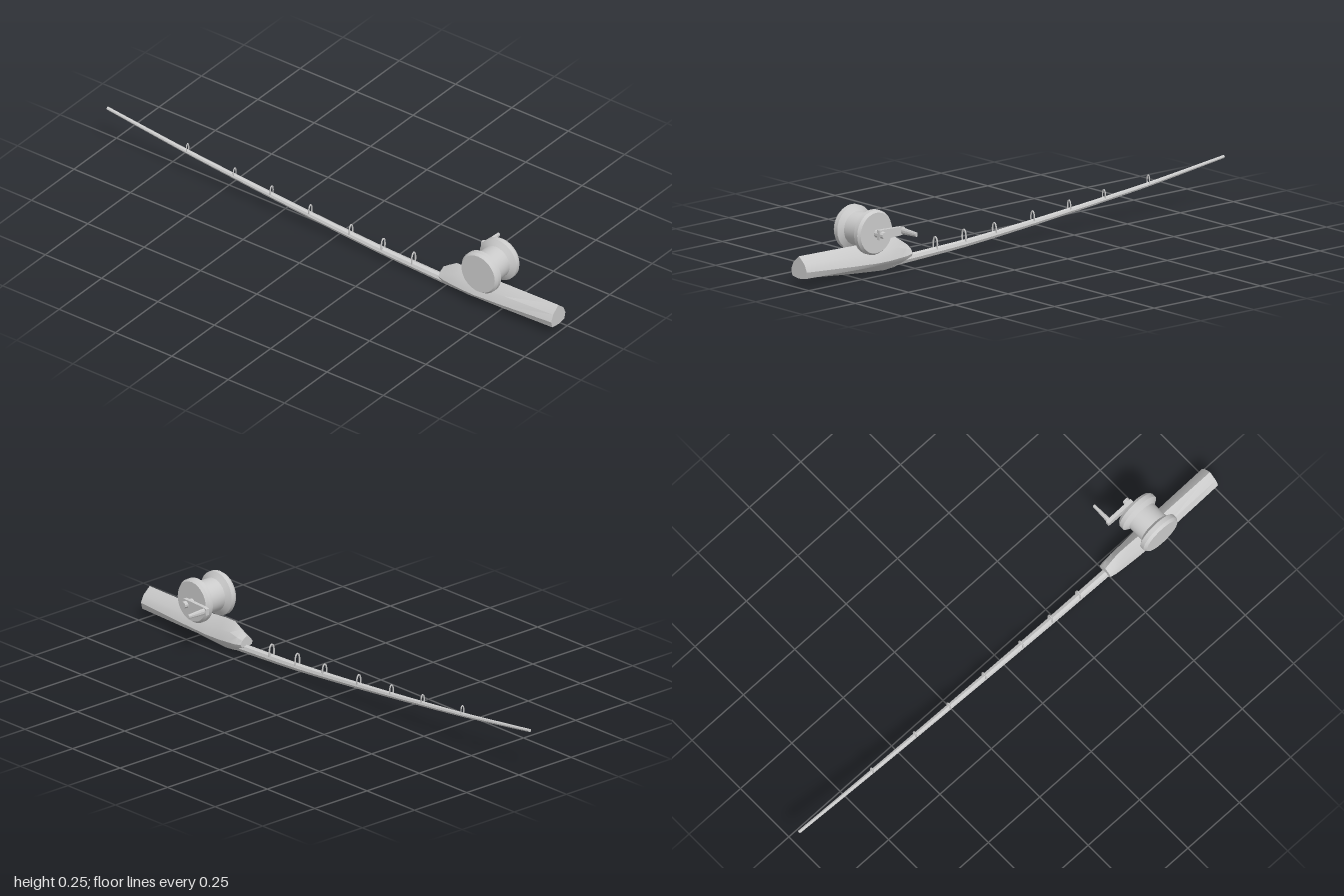
import * as THREE from 'three';
import { toCreasedNormals } from 'three/addons/utils/BufferGeometryUtils.js';

const AXIS_Z = 0.0525;
const grey = new THREE.MeshStandardMaterial({ color: 0xcccccc });
const flat = new THREE.MeshStandardMaterial({ color: 0xcccccc, flatShading: true });

function mesh(name, geometry, material, parent) {
  const m = new THREE.Mesh(geometry, material);
  m.name = name;
  parent.add(m);
  return m;
}

// Skin rings of [x, y, z] points that run along +x and close both ends
function loft(rings) {
  const n = rings[0].length, index = [], points = rings.flat();
  for (let r = 0; r < rings.length - 1; r++) {
    for (let i = 0; i < n; i++) {
      const a = r * n + i, b = r * n + (i + 1) % n;
      index.push(a, b, a + n, b, b + n, a + n);
    }
  }
  const last = (rings.length - 1) * n;
  for (let i = 1; i < n - 1; i++) index.push(0, i + 1, i, last, last + i, last + i + 1);
  const g = new THREE.BufferGeometry();
  g.setAttribute('position', new THREE.Float32BufferAttribute(points.flat(), 3));
  g.setIndex(index);
  return toCreasedNormals(g, 0.5);
}

// Lathe around the z axis from [radius, z] points, listed with z rising
function latheZ(profile, segments) {
  const g = new THREE.LatheGeometry(profile.map(([r, z]) => new THREE.Vector2(r, z)), segments);
  g.rotateX(Math.PI / 2);
  return toCreasedNormals(g, 0.5);
}

// Centre line of the bent blank
const bend = new THREE.CatmullRomCurve3([
  [-1, 0.157], [-0.8, 0.132], [-0.65, 0.114], [-0.44, 0.093], [-0.105, 0.063],
  [0.22, 0.039], [0.36, 0.033], [0.5, 0.028], [0.6, 0.026],
].map(([x, y]) => new THREE.Vector3(x, y, AXIS_Z)));
const rodRadius = (x) => 0.006 + 0.0105 * (x + 1) / 1.5;

export function createModel() {
  const model = new THREE.Group();
  model.name = 'fishingRod';

  // Tapered blank
  const rodRings = bend.getPoints(24).map((p) => Array.from({ length: 8 }, (_, i) => {
    const a = i * Math.PI / 4, r = rodRadius(p.x);
    return [p.x, p.y + r * Math.cos(a), p.z + r * Math.sin(a)];
  }));
  mesh('rodBlank', loft(rodRings), grey, model);

  // Faceted grip: x, bottom, top, half width, height of the lower corners
  const sections = [
    [0.49, 0.036, 0.078, 0.029, 0.12],
    [0.515, 0.020, 0.095, 0.033, 0.18],
    [0.55, 0.006, 0.117, 0.036, 0.24],
    [0.60, 0.002, 0.117, 0.038, 0.26],
    [0.66, 0.006, 0.112, 0.041, 0.25],
    [0.78, 0.015, 0.115, 0.042, 0.2],
    [1, 0.036, 0.118, 0.042, 0.06],
  ];
  const gripRings = sections.map(([x, lo, hi, w, corner]) => [
    [0, 1], [0.72, 0.68], [1, 0.36], [0.84, corner], [0, 0],
    [-0.84, corner], [-1, 0.36], [-0.72, 0.68],
  ].map(([z, t]) => [x, lo + t * (hi - lo), AXIS_Z + z * w]));
  mesh('grip', loft(gripRings), grey, model);

  // Line guides: thin arches standing on the blank
  const guides = new THREE.Group();
  guides.name = 'lineGuides';
  model.add(guides);
  const line = bend.getPoints(200);
  [[-0.645, 0.150], [-0.436, 0.130], [-0.272, 0.119], [-0.1, 0.107],
    [0.08, 0.094], [0.223, 0.093], [0.358, 0.088]].forEach(([x, top]) => {
    const p = line.reduce((a, b) => (Math.abs(b.x - x) < Math.abs(a.x - x) ? b : a));
    const base = p.y + rodRadius(x) * 0.5, h = top - 0.0025 - base;
    const w = 0.006 + 0.004 * (x + 0.65);
    const arch = new THREE.CatmullRomCurve3([
      [-w, 0], [-w * 1.1, 0.5], [-w * 0.65, 0.88], [0, 1], [w * 0.65, 0.88], [w * 1.1, 0.5], [w, 0],
    ].map(([z, t]) => new THREE.Vector3(x, base + t * h, AXIS_Z + z)));
    mesh('lineGuide', new THREE.TubeGeometry(arch, 16, 0.0024 + 0.0008 * (x + 0.65), 6), grey, guides);
  });

  // Reel: two chamfered flanges around a narrower drum
  const reel = new THREE.Group();
  reel.name = 'reel';
  reel.position.set(0.699, 0.167, AXIS_Z);
  model.add(reel);
  const half = [[0.061, 0.032], [0.067, 0.036], [0.0815, 0.045], [0.0815, 0.062], [0.074, 0.0725], [0, 0.0725]];
  const spool = [...half.map(([r, z]) => [r, -z]).reverse(), ...half];
  mesh('spool', latheZ(spool, 28), grey, reel);

  // Crank: axle, arm and flattened tapering knob
  const crank = new THREE.Group();
  crank.name = 'crank';
  crank.position.set(0.697, 0.165, 0);
  model.add(crank);
  mesh('crankAxle', latheZ([
    [0, -0.064], [0.0125, -0.064], [0.0145, -0.036], [0.0145, -0.015], [0, -0.015],
  ], 10), grey, crank);
  const arm = new THREE.Shape();
  arm.moveTo(0.013, -0.018);
  [[0.013, 0.018], [-0.012, 0.018], [-0.09, 0.015], [-0.107, 0.012],
    [-0.107, -0.012], [-0.09, -0.015], [-0.012, -0.018]].forEach((p) => arm.lineTo(...p));
  arm.closePath();
  mesh('crankArm', new THREE.ExtrudeGeometry(arm, { depth: 0.014, bevelEnabled: false }), flat, crank)
    .position.z = -0.05;
  const knob = mesh('crankKnob', latheZ([
    [0, -0.125], [0.0085, -0.125], [0.0125, -0.062], [0.0125, -0.045], [0, -0.045],
  ], 10), grey, crank);
  knob.position.x = -0.095;
  knob.scale.x = 0.65;

  return model;
}
